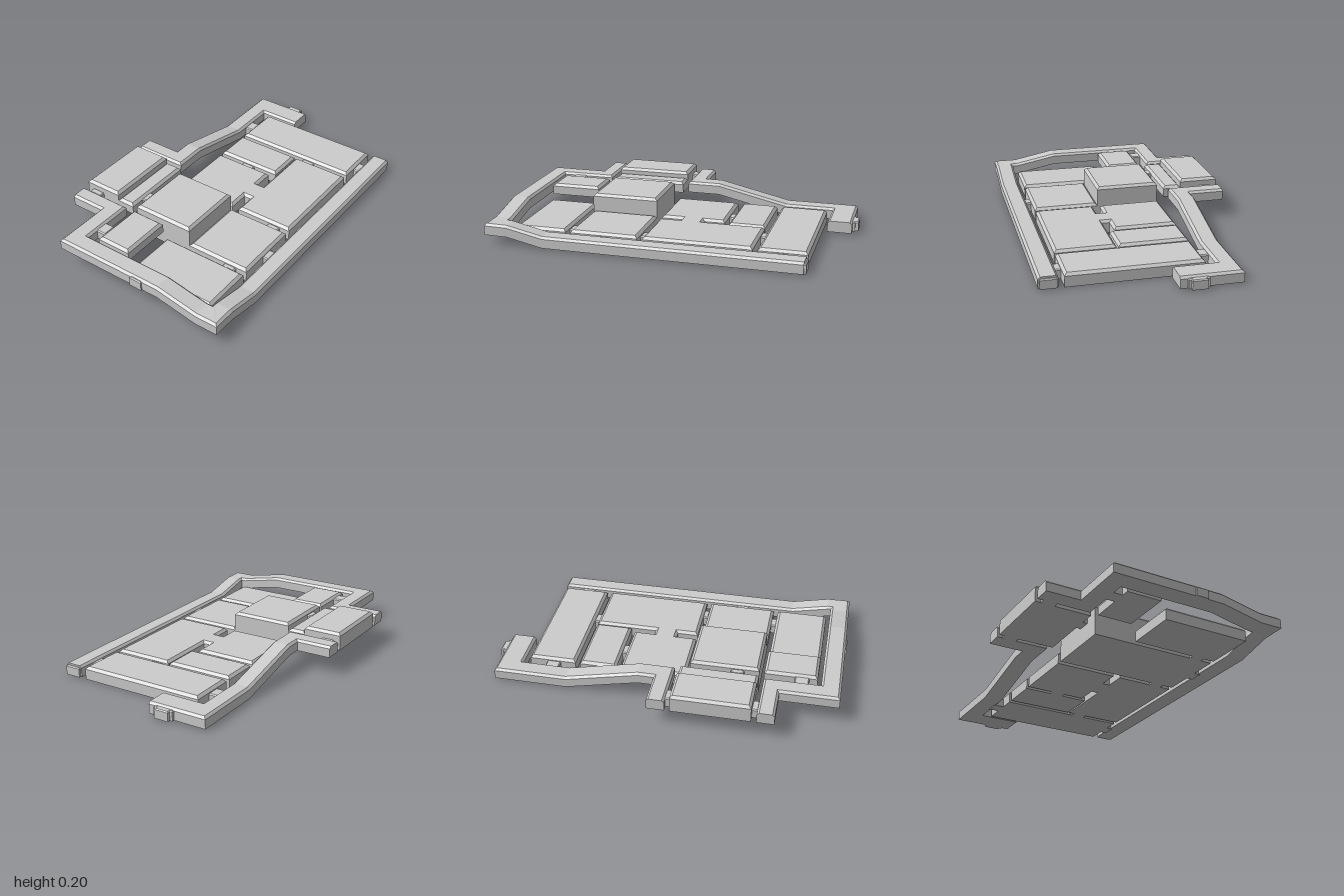
import * as THREE from 'three';

const grey = new THREE.MeshStandardMaterial({ color: 0xcccccc });
grey.name = 'plain grey';

// Flat-faced geometry from a list of triangles
function facets(tris) {
  const g = new THREE.BufferGeometry().setFromPoints(tris);
  g.computeVertexNormals();
  return g;
}

function add(group, name, geometry) {
  const mesh = new THREE.Mesh(geometry, grey);
  mesh.name = name;
  group.add(mesh);
}

// Upright slab on a right-angled [x, z] outline, with a chamfered top edge
function slab(outline, y0, y1, bevel) {
  const n = outline.length;
  const normal = (i) => {
    const a = outline[(i + n) % n], b = outline[(i + 1) % n];
    const dx = b[0] - a[0], dz = b[1] - a[1], l = Math.hypot(dx, dz);
    return [-dz / l, dx / l];
  };
  const layer = (y, inset) => outline.map(([x, z], i) => {
    const p = normal(i - 1), q = normal(i);
    return new THREE.Vector3(x - (p[0] + q[0]) * inset, y, z - (p[1] + q[1]) * inset);
  });
  const layers = [layer(y0, 0), layer(y1 - bevel, 0), layer(y1, bevel)];
  const tris = [];
  for (let k = 0; k < 2; k++) {
    for (let i = 0; i < n; i++) {
      const j = (i + 1) % n, a = layers[k], b = layers[k + 1];
      tris.push(a[i], a[j], b[j], a[i], b[j], b[i]);
    }
  }
  const flat = outline.map(([x, z]) => new THREE.Vector2(x, -z));
  for (const [a, b, c] of THREE.ShapeUtils.triangulateShape(flat, [])) {
    tris.push(layers[2][a], layers[2][b], layers[2][c]);
    tris.push(layers[0][a], layers[0][c], layers[0][b]);
  }
  return facets(tris);
}

const rect = (x0, x1, z0, z1) => [[x0, z1], [x1, z1], [x1, z0], [x0, z0]];

// Chamfered strip swept along [x, y, z, half width of the next stretch]
function corridor(path, height, bevel) {
  const n = path.length;
  const stretch = (i) => {
    const a = path[i], b = path[i + 1];
    const dx = b[0] - a[0], dz = b[2] - a[2], l = Math.hypot(dx, dz);
    return { x: -dz / l, z: dx / l, half: a[3] };
  };
  const profile = [[1, 0, 0], [1, 0, height - bevel], [1, bevel, height],
    [-1, bevel, height], [-1, 0, height - bevel], [-1, 0, 0]];
  const rings = path.map(([x, y, z], i) => {
    const p = stretch(Math.max(i - 1, 0)), q = stretch(Math.min(i, n - 2));
    const straight = p.x * q.x + p.z * q.z > 0.9;
    return profile.map(([side, inset, up]) => {
      const u = straight ? 0 : side * (p.half - inset), v = side * (q.half - inset);
      return new THREE.Vector3(x + p.x * u + q.x * v, y + up, z + p.z * u + q.z * v);
    });
  });
  const tris = [], m = profile.length;
  for (let i = 0; i < n - 1; i++) {
    for (let k = 0; k < m; k++) {
      const j = (k + 1) % m, a = rings[i], b = rings[i + 1];
      tris.push(a[k], b[k], b[j], a[k], b[j], a[j]);
    }
  }
  const s = rings[0], e = rings[n - 1];
  for (let k = 1; k < m - 1; k++) tris.push(s[0], s[k], s[k + 1], e[0], e[k + 1], e[k]);
  return facets(tris);
}

export function createModel() {
  const model = new THREE.Group();
  model.name = 'floorPlan';
  const UP = 0.1; // raised floor level

  // Outer corridors, with ramps between floor levels
  add(model, 'leftLoopCorridor', corridor([
    [0.8, 0.005, 0.56, 0.053], [-0.64, 0.005, 0.56, 0.053], [-0.85, 0.05, 0.56, 0.053],
    [-0.927, 0.052, 0.56, 0.055], [-0.927, 0.052, 0.48, 0.055], [-0.927, UP, 0.235, 0.055],
    [-0.927, UP, -0.37, 0.053], [-0.607, UP, -0.37, 0.048], [-0.607, UP, -0.625, 0.048],
  ], 0.065, 0.013));
  add(model, 'backRightCorridor', corridor([
    [-0.013, UP, -0.625, 0.05], [-0.013, UP, -0.37, 0.053], [0.13, UP, -0.37, 0.053],
    [0.55, 0.005, -0.37, 0.053], [0.898, 0.005, -0.37, 0.07], [0.898, 0.005, -0.08, 0.07],
  ], 0.065, 0.013));

  // Rooms: name, x range, z range, floor, top
  const rooms = [
    ['leftFrontRoom', -0.85, -0.555, -0.035, 0.477, 0, 0.075],
    ['leftBackRaisedRoom', -0.85, -0.555, -0.265, -0.06, UP, 0.165],
    ['centreFrontRoom', -0.528, -0.138, 0.1, 0.477, 0, 0.075],
    ['tallRoom', -0.528, -0.138, -0.268, 0.1, 0, 0.175],
    ['narrowRoom', 0.292, 0.505, -0.268, 0.125, 0, 0.075],
    ['rightLongRoom', 0.532, 0.802, -0.268, 0.477, 0, 0.075],
    ['backHall', -0.53, -0.09, -0.625, -0.4, UP, 0.2],
    ['backHallStep', -0.53, -0.09, -0.4, -0.295, UP, 0.165],
  ];
  for (const [name, x0, x1, z0, z1, y0, y1] of rooms) {
    add(model, name, slab(rect(x0, x1, z0, z1), y0, y1, 0.015));
  }

  // Two halls joined by a narrow neck
  add(model, 'neckedRoom', slab([
    [-0.11, 0.477], [0.505, 0.477], [0.505, 0.135], [0.145, 0.135], [0.145, 0.092], [0.265, 0.092],
    [0.265, -0.268], [-0.11, -0.268], [-0.11, 0.092], [0.01, 0.092], [0.01, 0.135], [-0.11, 0.135],
  ], 0, 0.075, 0.015));

  // Doorways bridging the gaps: x range, z range, floor
  const doors = [
    [-0.56, -0.52, 0.335, 0.41, 0], [-0.14, -0.105, 0.34, 0.415, 0],
    [-0.37, -0.295, 0.47, 0.515, 0], [0.62, 0.7, 0.47, 0.515, 0],
    [0.5, 0.54, 0.17, 0.25, 0], [0.26, 0.3, -0.11, -0.03, 0],
    [0.62, 0.7, -0.325, -0.26, 0], [-0.805, -0.725, -0.325, -0.26, UP],
    [-0.565, -0.525, -0.59, -0.51, UP], [-0.095, -0.055, -0.59, -0.51, UP],
    [-0.445, -0.37, -0.3, -0.262, UP], [-0.99, -0.97, 0.065, 0.14, UP],
    [0.79, 0.812, 0.515, 0.605, 0.005], [0.96, 0.982, -0.235, -0.12, 0.005],
    [0.96, 1, -0.22, -0.135, 0.005],
  ];
  for (const [x0, x1, z0, z1, y] of doors) {
    add(model, 'doorway', slab(rect(x0, x1, z0, z1), y, y + 0.055, 0.006));
  }
  return model;
}
